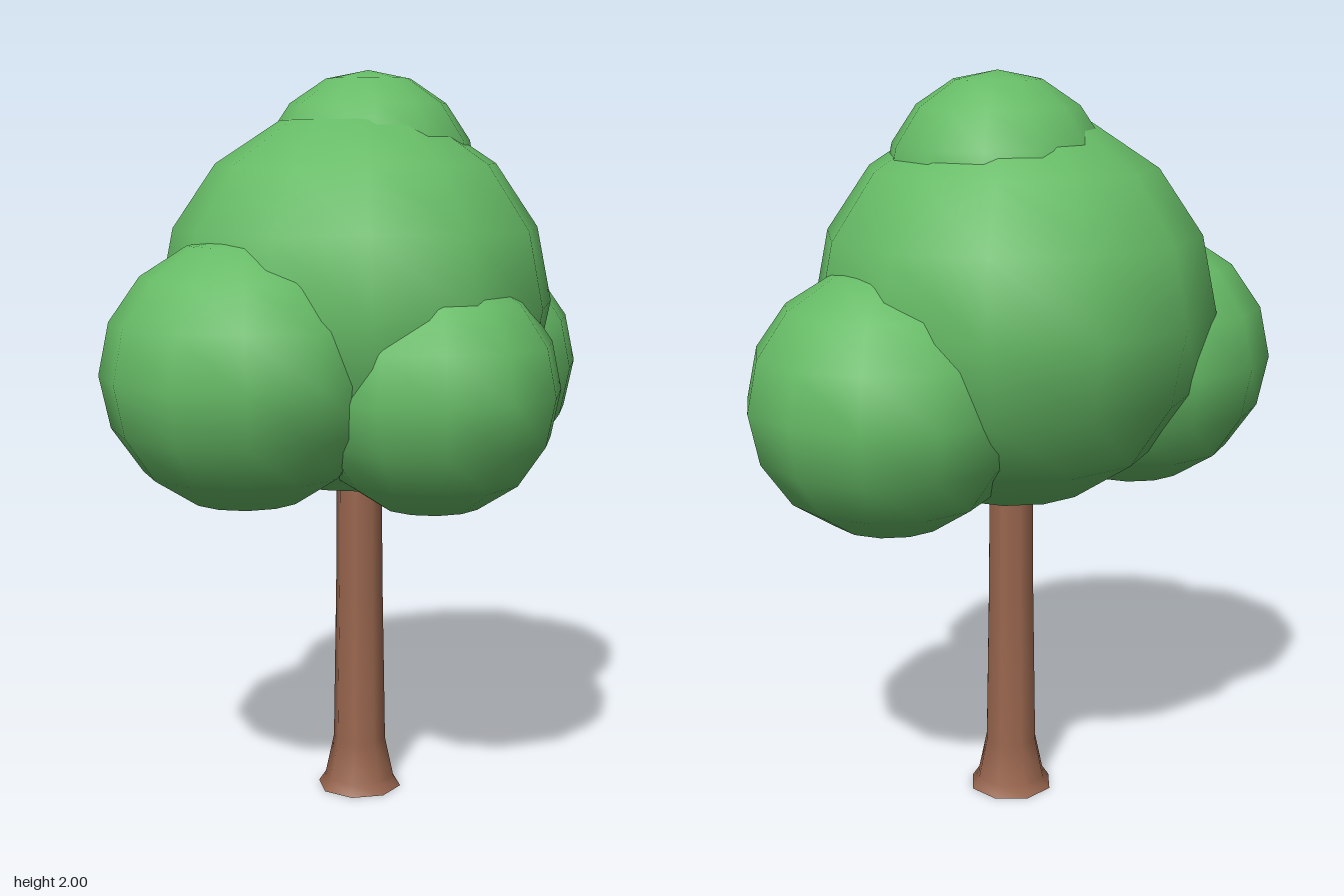
import * as THREE from 'three';

export function createModel() {
  const tree = new THREE.Group();
  tree.name = 'tree';

  const leafGreen = new THREE.MeshStandardMaterial({ color: 0x66bb66 });
  leafGreen.name = 'leafGreen';
  const barkBrown = new THREE.MeshStandardMaterial({ color: 0x99664e });
  barkBrown.name = 'barkBrown';

  const add = (parent, name, geometry, material) => {
    const mesh = new THREE.Mesh(geometry, material);
    mesh.name = name;
    parent.add(mesh);
    return mesh;
  };

  // Eight-sided trunk, flared at the root and running up into the crown
  const trunk = new THREE.Group();
  trunk.name = 'trunk';
  trunk.position.set(0.003, 0, -0.04);
  const profile = [[0.118, 0], [0.098, 0.03], [0.074, 0.14], [0.066, 0.6], [0.062, 1.1]]
    .map(([r, y]) => new THREE.Vector2(r, y));
  add(trunk, 'trunkBark', new THREE.LatheGeometry(profile, 8), barkBrown);
  add(trunk, 'trunkBase', new THREE.CircleGeometry(0.118, 8).rotateX(Math.PI / 2), barkBrown);
  tree.add(trunk);

  // Crown of overlapping leaf balls: name, centre, horizontal radius, vertical radius
  const crown = new THREE.Group();
  crown.name = 'crown';
  const ball = new THREE.SphereGeometry(1, 12, 8);
  const clumps = [
    ['mainClump', [0.005, 1.38, -0.055], 0.537, 0.527],
    ['topClump', [0.053, 1.7, -0.068], 0.3, 0.3],
    ['frontClump', [0.035, 1.17, 0.25], 0.343, 0.333],
    ['rightClump', [-0.38, 1.217, -0.005], 0.378, 0.36],
    ['leftClump', [0.385, 1.18, -0.135], 0.37, 0.35],
  ];
  for (const [name, centre, r, h] of clumps) {
    const clump = add(crown, name, ball, leafGreen);
    clump.position.set(...centre);
    clump.scale.set(r, h, r);
  }
  tree.add(crown);

  return tree;
}
